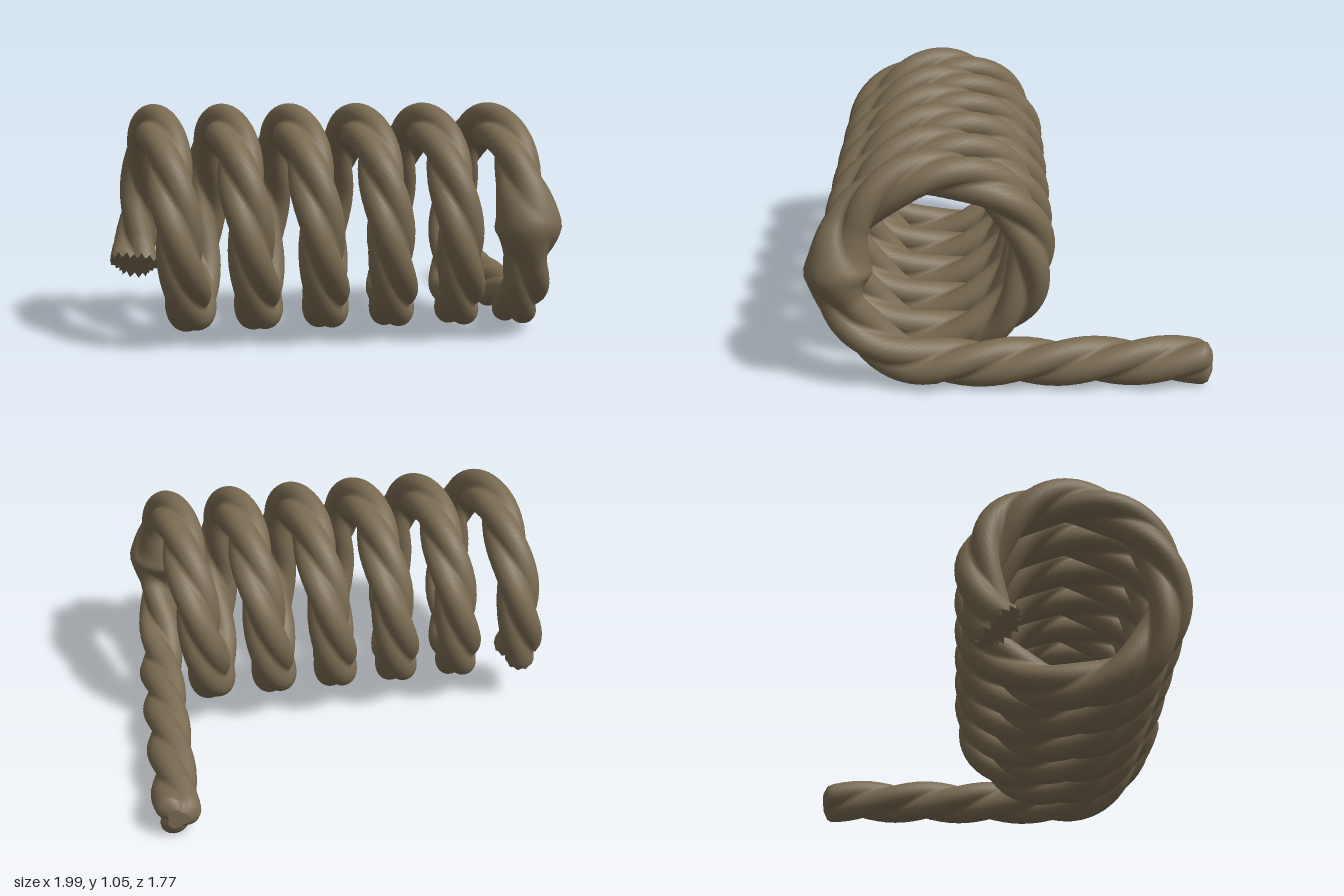
import * as THREE from 'three';

const RAD = Math.PI / 180;
const COIL = 0.42, CY = 0.54, CZ = 0.315;   // coil radius and axis position
const START = -38, KINK = 1980, END = 2070; // degrees travelled round the coil
const PITCH = 0.308, TWIST = 1.0;           // coil spacing, length of one rope twist
const SIDES = 36;

// Centre line of the rope: a helix about x, then a straight tail to the back
function ropePath() {
  const pts = [];
  const steps = 620;
  for (let i = 0; i <= steps; i++) {
    const deg = START + (END - START) * i / steps;
    const t = deg * RAD;
    const out = new THREE.Vector3(0, Math.sin(t), -Math.cos(t));
    const x = deg < KINK
      ? -0.77 + PITCH * (deg - 90) / 360
      : THREE.MathUtils.lerp(0.847, 0.89, (deg - KINK) / (END - KINK));
    pts.push({ p: new THREE.Vector3(x, CY + COIL * out.y, CZ + COIL * out.z), out, deg });
  }
  const tail = 60;
  for (let i = 1; i <= tail; i++) {
    const z = THREE.MathUtils.lerp(CZ, -0.89, i / tail);
    pts.push({ p: new THREE.Vector3(0.89, 0.122, z), out: new THREE.Vector3(0, -1, 0), deg: END + i });
  }
  return pts;
}

// Cross-section radius of three merged strands
function strandRadius(a) {
  const third = Math.PI * 2 / 3;
  const f = a - Math.round(a / third) * third;
  const d = 0.045, s = 0.064;
  return d * Math.cos(f) + Math.sqrt(s * s - (d * Math.sin(f)) ** 2);
}

// Rings of points following the path, twisting left-handed
function ropeRings() {
  const path = ropePath();
  const rings = [];
  let length = 0;
  path.forEach(({ p, out, deg }, i) => {
    const prev = path[Math.max(i - 1, 0)].p, next = path[Math.min(i + 1, path.length - 1)].p;
    if (i > 0) length += p.distanceTo(prev);
    const T = next.clone().sub(prev).normalize();
    const N = out.clone().addScaledVector(T, -out.dot(T)).normalize();
    const B = T.clone().cross(N);

    // Flared kink on the last turn, long above and short below
    const off = (deg - KINK) * RAD * COIL;
    const kink = deg > END ? 0 : Math.max(0, 1 - (off < 0 ? -off / 0.22 : off / 0.13));
    // Rounded tip of the tail and slight flare at the frayed start
    const toTip = p.z + 0.89;
    let scale = 1;
    if (deg > END && toTip < 0.05) scale = 0.5 + 0.5 * Math.sqrt(1 - (1 - toTip / 0.05) ** 2);
    if (i < 4) scale = 1 + 0.03 * (4 - i);

    const ring = [];
    for (let j = 0; j < SIDES; j++) {
      const a = j / SIDES * Math.PI * 2;
      const r = THREE.MathUtils.lerp(strandRadius(a), 0.152, kink) * scale;
      const w = a - length / TWIST * Math.PI * 2;
      const v = p.clone().addScaledVector(N, r * Math.cos(w)).addScaledVector(B, r * Math.sin(w));
      if (i === 0) v.addScaledVector(T, j % 2 ? -0.022 : 0.006); // frayed rim
      ring.push(v);
    }
    rings.push(ring);
  });
  return rings;
}

function toGeometry(points, index) {
  const g = new THREE.BufferGeometry().setFromPoints(points);
  g.setIndex(index);
  g.computeVertexNormals();
  return g;
}

// Fan closing one end of the rope
function capGeometry(ring, flip) {
  const centre = ring.reduce((s, v) => s.add(v), new THREE.Vector3()).divideScalar(ring.length);
  const index = [];
  for (let j = 0; j < SIDES; j++) {
    const k = (j + 1) % SIDES;
    index.push(SIDES, ...(flip ? [k, j] : [j, k]));
  }
  return toGeometry([...ring, centre], index);
}

export function createModel() {
  const group = new THREE.Group();
  group.name = 'coiledRope';
  const ropeBrown = new THREE.MeshStandardMaterial({ color: 0x7a6b52 });
  ropeBrown.name = 'ropeBrown';

  const rings = ropeRings();
  const index = [];
  for (let i = 0; i < rings.length - 1; i++) {
    for (let j = 0; j < SIDES; j++) {
      const k = (j + 1) % SIDES;
      const a = i * SIDES + j, b = i * SIDES + k;
      index.push(a, b, a + SIDES, b, b + SIDES, a + SIDES);
    }
  }

  const add = (name, geometry) => {
    const mesh = new THREE.Mesh(geometry, ropeBrown);
    mesh.name = name;
    group.add(mesh);
  };
  add('rope', toGeometry(rings.flat(), index));
  add('frayedEnd', capGeometry(rings[0], true));
  add('tailEnd', capGeometry(rings[rings.length - 1], false));
  return group;
}
